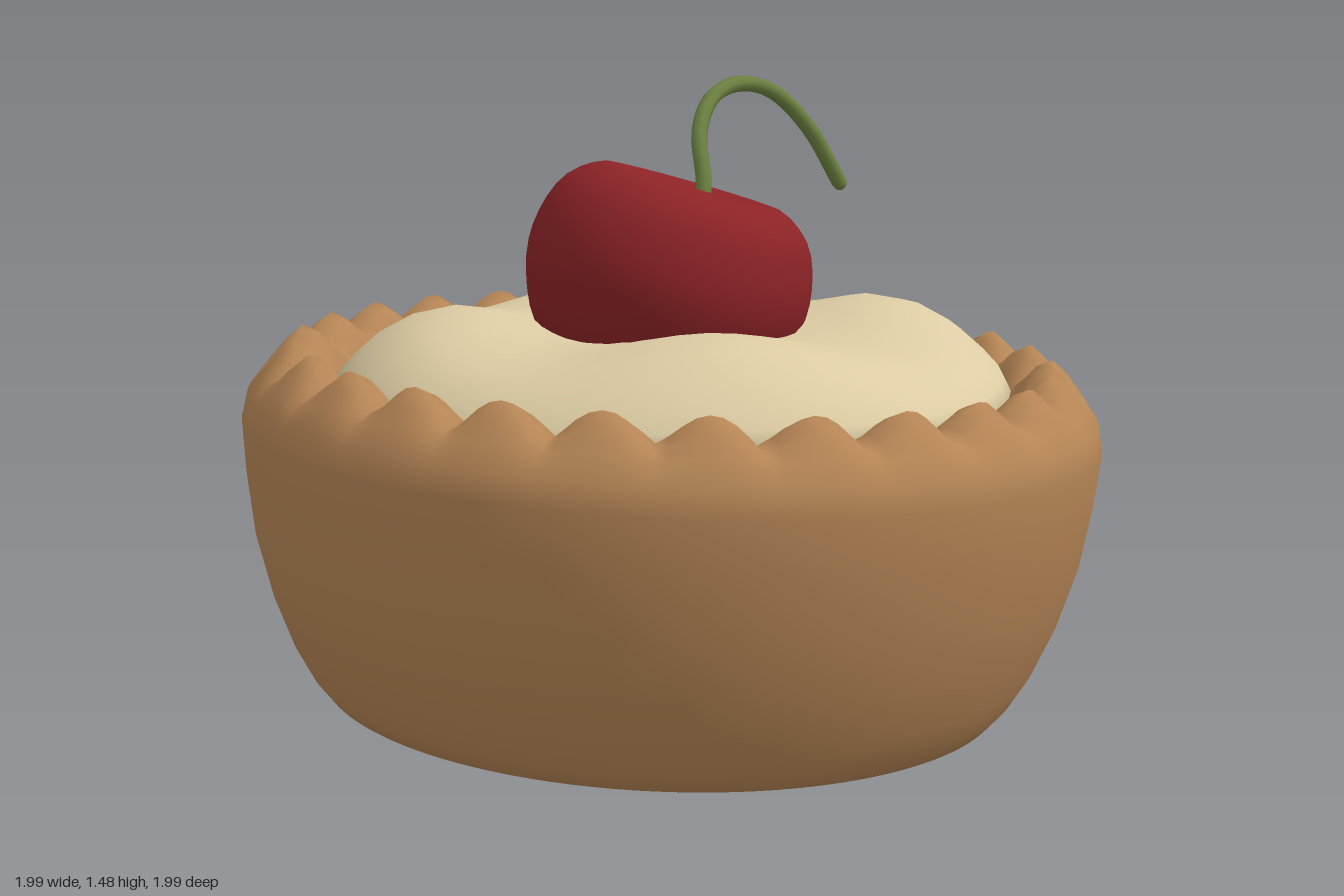
import * as THREE from 'three';
import { mergeVertices } from 'three/addons/utils/BufferGeometryUtils.js';

// Smooth lathe from a bottom-to-top profile, with an optional vertex rule
function turned(profile, segments, rule) {
  const points = profile.map(([r, y]) => new THREE.Vector2(r, y));
  let geometry = new THREE.LatheGeometry(points, segments);
  geometry.deleteAttribute('uv');
  geometry.deleteAttribute('normal');
  geometry = mergeVertices(geometry, 1e-4);
  if (rule) {
    const pos = geometry.attributes.position;
    const v = new THREE.Vector3();
    for (let i = 0; i < pos.count; i++) {
      v.fromBufferAttribute(pos, i);
      rule(v, Math.hypot(v.x, v.z), Math.atan2(v.x, v.z));
      pos.setXYZ(i, v.x, v.y, v.z);
    }
  }
  geometry.computeVertexNormals();
  return geometry;
}

// Rounds off a few profile points
function smoothProfile(profile, count) {
  const curve = new THREE.SplineCurve(profile.map(([r, y]) => new THREE.Vector2(r, y)));
  return curve.getPoints(count).map((p) => [Math.max(p.x, 0), p.y]);
}

function part(name, geometry, color) {
  const mesh = new THREE.Mesh(geometry, new THREE.MeshStandardMaterial({ color }));
  mesh.name = name;
  return mesh;
}

export function createModel() {
  const model = new THREE.Group();
  model.name = 'cherryTart';

  // Pastry shell: rounded crimps around the rim, slightly tilted
  const crustProfile = [
    [0, 0.03], [0.4, 0.03], [0.66, 0.032], [0.805, 0.068], [0.84, 0.11], [0.88, 0.18], [0.925, 0.29],
    [0.965, 0.43], [0.986, 0.57], [0.997, 0.69], [0.985, 0.75], [0.95, 0.795], [0.915, 0.825],
    [0.88, 0.842], [0.845, 0.835], [0.81, 0.805], [0.785, 0.77], [0.75, 0.72], [0.6, 0.7],
  ];
  const crust = part('crust', turned(crustProfile, 208, (v, r, a) => {
    if (v.y < 0.73) return;
    const wave = 2 * Math.sqrt(0.5 + 0.5 * Math.cos(26 * (a + 0.057))) - 1.1;
    const weight = Math.exp(-(((r - 0.875) / 0.055) ** 2));
    v.y += 0.037 * wave * weight;
  }), 0xb58555);
  crust.position.set(-0.02, 0, 0.015);
  crust.rotation.set(-0.025, 0, -0.033);
  model.add(crust);

  // Cream filling: a domed ring with four soft swells
  const creamProfile = [
    [0.6, 0.72], [0.77, 0.74], [0.79, 0.775], [0.772, 0.81], [0.735, 0.847], [0.68, 0.89],
    [0.6, 0.925], [0.5, 0.943], [0.4, 0.94], [0.25, 0.92], [0.1, 0.905], [0, 0.9],
  ];
  model.add(part('cream', turned(creamProfile, 40, (v, r, a) => {
    v.y -= 0.03 * Math.cos(4 * a) * Math.exp(-(((r - 0.53) / 0.2) ** 2));
  }), 0xdccba3));

  // Cherry with a dimple, leaning to the back left
  const cherryProfile = [
    [0, -0.25], [0.13, -0.245], [0.26, -0.19], [0.322, -0.07], [0.333, 0.04], [0.295, 0.155],
    [0.21, 0.217], [0.13, 0.2], [0.065, 0.155], [0, 0.14],
  ];
  const cherry = part('cherry', turned(smoothProfile(cherryProfile, 30), 24), 0x8c2326);
  cherry.position.set(0.01, 1.035, 0.03);
  cherry.rotation.set(-0.2, 0, -0.2);
  model.add(cherry);

  // Stem arching over towards the back
  const path = new THREE.CatmullRomCurve3([
    [0.1, 1.16, 0.03], [0.09, 1.25, 0], [0.045, 1.36, -0.05], [0.02, 1.435, -0.14],
    [0.02, 1.465, -0.26], [0.045, 1.44, -0.38], [0.085, 1.35, -0.48], [0.12, 1.21, -0.575],
  ].map((p) => new THREE.Vector3(...p)));
  const stem = part('stem', new THREE.TubeGeometry(path, 32, 0.019, 8), 0x6b8040);
  const tip = part('stemTip', new THREE.SphereGeometry(0.019, 8, 6), 0x6b8040);
  tip.position.copy(path.getPoint(1));
  model.add(stem, tip);

  return model;
}
